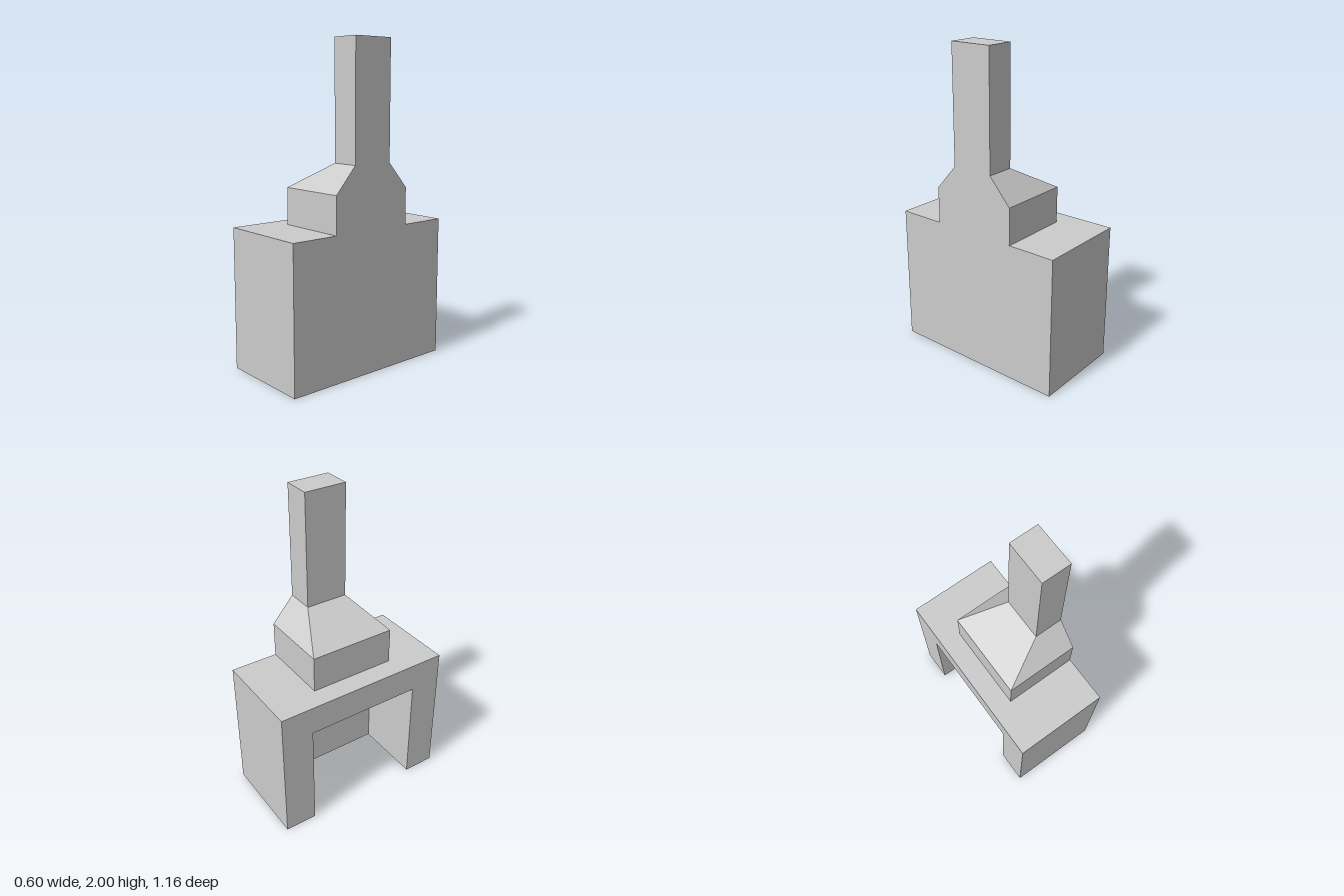
import * as THREE from 'three';

const material = new THREE.MeshStandardMaterial({ color: 0xcccccc, flatShading: true });

const WALL_X = 0.298;   // flat wall side, shared by every part
const HALF_Z = 0.582;   // half width of the fireplace body
const BODY_TOP = 0.885;

function part(name, geometry) {
  const mesh = new THREE.Mesh(geometry, material);
  mesh.name = name;
  return mesh;
}

// Skins stacked rectangles, each [y, inner x, half z], all flush with the wall side
function loft(levels, capped) {
  const rings = levels.map(([y, x, z]) => [[x, y, z], [WALL_X, y, z], [WALL_X, y, -z], [x, y, -z]]);
  const positions = [];
  const quad = (a, b, c, d) => positions.push(...a, ...b, ...c, ...a, ...c, ...d);
  for (let r = 0; r < rings.length - 1; r++) {
    for (let i = 0; i < 4; i++) {
      const j = (i + 1) % 4;
      quad(rings[r][i], rings[r][j], rings[r + 1][j], rings[r + 1][i]);
    }
  }
  if (capped) quad(...rings[rings.length - 1]);
  const geometry = new THREE.BufferGeometry();
  geometry.setAttribute('position', new THREE.Float32BufferAttribute(positions, 3));
  geometry.computeVertexNormals();
  return geometry;
}

export function createModel() {
  const group = new THREE.Group();
  group.name = 'fireplace';

  // Surround: an arch of two legs and a lintel, opening towards -x
  const openZ = 0.376, openTop = 0.7, backX = 0.15;
  const arch = new THREE.Shape([
    [-HALF_Z, 0], [-openZ, 0], [-openZ, openTop], [openZ, openTop],
    [openZ, 0], [HALF_Z, 0], [HALF_Z, BODY_TOP], [-HALF_Z, BODY_TOP],
  ].map(([x, y]) => new THREE.Vector2(x, y)));
  const surround = new THREE.ExtrudeGeometry(arch, { depth: backX + WALL_X, bevelEnabled: false });
  surround.rotateY(Math.PI / 2).translate(-WALL_X, 0, 0);
  group.add(part('surround', surround));

  // Back wall closing the firebox
  const thickness = WALL_X - backX;
  const back = new THREE.BoxGeometry(thickness, BODY_TOP, HALF_Z * 2);
  back.translate(backX + thickness / 2, BODY_TOP / 2, 0);
  group.add(part('backWall', back));

  // Hood: straight base, then slopes in to the chimney
  group.add(part('hood', loft([[BODY_TOP, -0.165, 0.277], [1.115, -0.165, 0.277], [1.275, 0.117, 0.136]], false)));

  // Chimney
  group.add(part('chimney', loft([[1.275, 0.117, 0.136], [2, 0.117, 0.136]], true)));

  return group;
}
